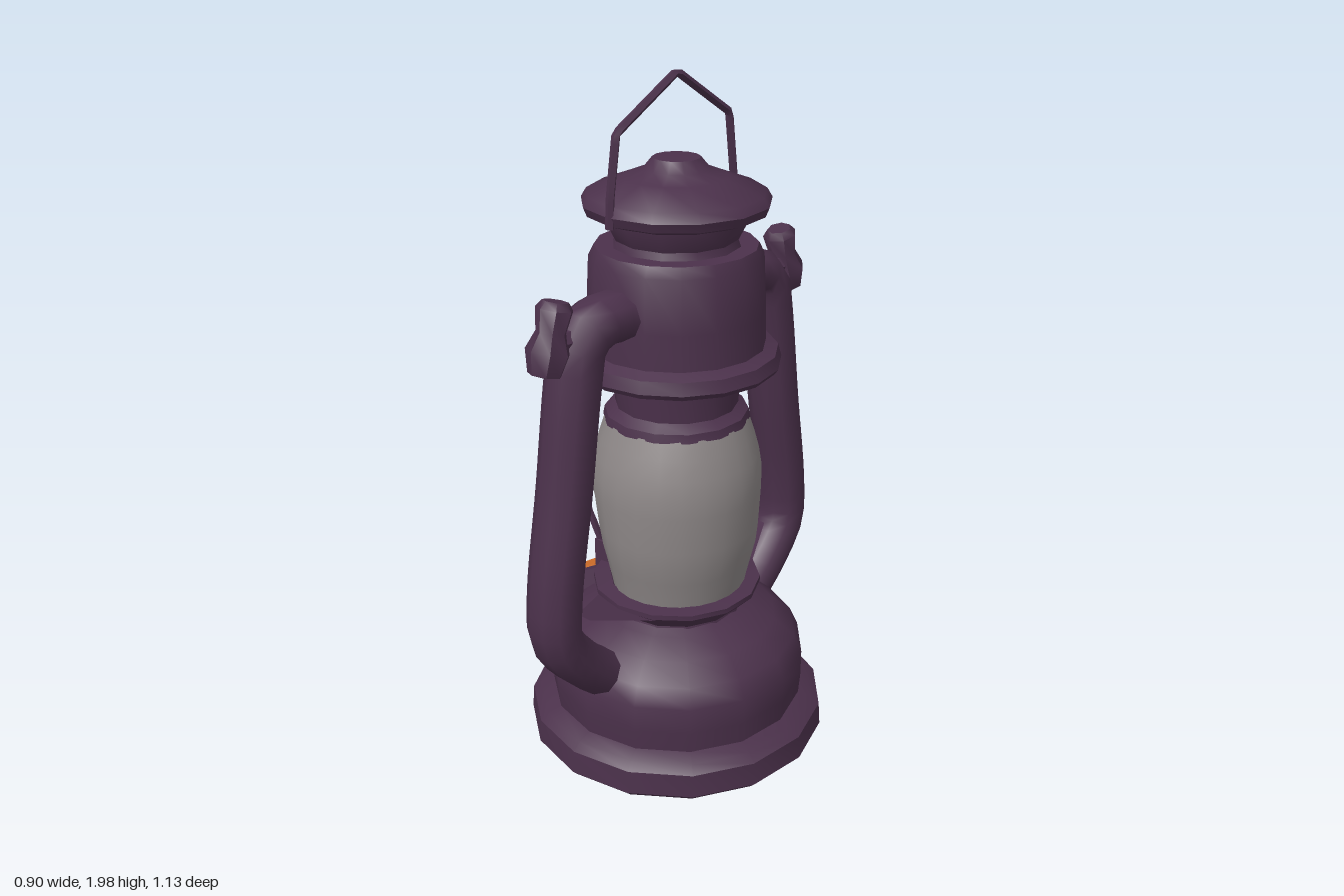
import * as THREE from 'three';
import { toCreasedNormals } from 'three/addons/utils/BufferGeometryUtils.js';

const metal = new THREE.MeshStandardMaterial({ color: 0x4b314b, side: THREE.DoubleSide });
metal.name = 'dark plum metal';
const glassMat = new THREE.MeshStandardMaterial({ color: 0x8e8888, side: THREE.DoubleSide });
glassMat.name = 'smoky grey glass';
const orange = new THREE.MeshStandardMaterial({ color: 0xd3702a, side: THREE.DoubleSide });
orange.name = 'flame orange';
const yellow = new THREE.MeshStandardMaterial({ color: 0xe6b54e, side: THREE.DoubleSide });
yellow.name = 'flame yellow';

const v3 = (x, y, z) => new THREE.Vector3(x, y, z);

function add(parent, name, geo, mat = metal, crease = 0.75) {
  const mesh = new THREE.Mesh(toCreasedNormals(geo, crease), mat);
  mesh.name = name;
  parent.add(mesh);
  return mesh;
}

const lathe = (profile, sides) =>
  new THREE.LatheGeometry(profile.map(([r, y]) => new THREE.Vector2(r, y)), sides);

function tube(points, radius, sides, steps, straight) {
  let curve = new THREE.CatmullRomCurve3(points);
  if (straight) {
    curve = new THREE.CurvePath();
    for (let i = 1; i < points.length; i++) curve.add(new THREE.LineCurve3(points[i - 1], points[i]));
  }
  return new THREE.TubeGeometry(curve, steps, radius, sides);
}

// Piecewise-linear lookup in [y, value...] rows
function lookup(rows, y, k = 1) {
  let i = 1;
  while (i < rows.length - 1 && y > rows[i][0]) i++;
  const [a, b] = [rows[i - 1], rows[i]];
  const t = THREE.MathUtils.clamp((y - a[0]) / (b[0] - a[0]), 0, 1);
  return a[k] + (b[k] - a[k]) * t;
}

// Barrel chimney surface; a = 0 faces -x, where the lower wall is pressed in
const barrel = [[0.48, 0.2], [0.53, 0.21], [0.66, 0.24], [0.85, 0.25], [0.94, 0.235], [1.03, 0.205]];
function chimneyPoint(a, y, lift = 0) {
  const dent = 0.28 * Math.exp(-((a / 0.8) ** 2)) * (1 - THREE.MathUtils.smoothstep(y, 0.6, 0.86));
  const r = lookup(barrel, y) * (1 - dent) + lift;
  return v3(-r * Math.cos(a), y, r * Math.sin(a));
}

// Grid of unit coordinates reshaped by a rule
function patch(cols, rows, rule) {
  const geo = new THREE.PlaneGeometry(1, 1, cols, rows);
  const p = geo.attributes.position;
  for (let i = 0; i < p.count; i++) {
    const q = rule(p.getX(i) + 0.5, p.getY(i) + 0.5);
    p.setXYZ(i, q.x, q.y, q.z);
  }
  return geo;
}

// Painted flame following the glass; rows are [y, z start, z end]
function flame(rows, lift) {
  const y0 = rows[0][0], y1 = rows[rows.length - 1][0];
  return patch(6, 10, (u, v) => {
    const y = y0 + (y1 - y0) * v;
    const z = THREE.MathUtils.lerp(lookup(rows, y, 1), lookup(rows, y, 2), u);
    return chimneyPoint(z / 0.21, y, lift);
  });
}

export function createModel() {
  const lantern = new THREE.Group();
  lantern.name = 'lantern';

  // Fuel tank with foot rim and shoulder
  add(lantern, 'fuelTank', lathe([[0, 0.01], [0.43, 0.01], [0.45, 0.03], [0.445, 0.1], [0.42, 0.12],
    [0.38, 0.135], [0.385, 0.2], [0.385, 0.28], [0.36, 0.335], [0.3, 0.385], [0.23, 0.42], [0.19, 0.44]], 15));

  // Burner cup with flared lip
  add(lantern, 'burnerCup', lathe([[0.21, 0.4], [0.2, 0.44], [0.25, 0.49], [0.25, 0.505],
    [0.2, 0.51], [0.19, 0.49], [0, 0.49]], 14));

  // Glass chimney and its painted flame
  add(lantern, 'glassChimney', patch(24, 10, (u, v) =>
    chimneyPoint((u - 0.5) * Math.PI * 2, 0.48 + 0.55 * v)), glassMat, 1.2);
  add(lantern, 'flameOuter', flame([[0.53, -0.05, 0.13], [0.57, -0.11, 0.14], [0.64, -0.09, 0.11],
    [0.74, -0.03, 0.11], [0.88, 0.03, 0.12], [0.94, 0.05, 0.07]], 0.005), orange, 1.2);
  add(lantern, 'flameInner', flame([[0.58, -0.05, 0.0], [0.63, -0.06, 0.04], [0.7, -0.01, 0.06],
    [0.8, 0.03, 0.05]], 0.009), yellow, 1.2);

  // Collar, hood, vent neck and cap
  add(lantern, 'chimneyCollar', lathe([[0.17, 1.02], [0.21, 1.025], [0.205, 1.05], [0.175, 1.07],
    [0.18, 1.14], [0.185, 1.21]], 14));
  add(lantern, 'hood', lathe([[0.17, 1.2], [0.285, 1.185], [0.295, 1.2], [0.285, 1.235], [0.25, 1.25],
    [0.248, 1.35], [0.24, 1.5], [0.225, 1.53], [0.15, 1.53]], 16));
  add(lantern, 'ventNeck', lathe([[0.18, 1.52], [0.17, 1.55], [0.2, 1.61], [0.2, 1.64]], 12));
  add(lantern, 'cap', lathe([[0.18, 1.6], [0.25, 1.625], [0.26, 1.65], [0.245, 1.675], [0.14, 1.715],
    [0.09, 1.735], [0.065, 1.765], [0, 1.772]], 13));

  // Wire bail
  add(lantern, 'bailHandle', tube([v3(0, 1.62, 0.255), v3(0, 1.7, 0.25), v3(0, 1.86, 0.225), v3(0, 1.985, 0),
    v3(0, 1.85, -0.215), v3(0, 1.62, -0.245)], 0.012, 5, 50, true));

  // Side air tubes, knobs and lip wings, mirrored front to back
  for (const s of [1, -1]) {
    const side = new THREE.Group();
    side.name = s > 0 ? 'frontFrame' : 'backFrame';
    lantern.add(side);
    const arm = add(side, 'airTube', tube([[1.38, 0.2], [1.385, 0.31], [1.35, 0.375], [1.25, 0.4], [0.95, 0.445],
      [0.64, 0.495], [0.51, 0.495], [0.42, 0.435], [0.33, 0.34], [0.28, 0.26]]
      .map(([y, z]) => v3(0, y, s * z)), 0.07, 10, 26), metal, 1);
    arm.scale.x = 1.18;

    const knob = add(side, 'knob', lathe([[0, -0.1], [0.045, -0.09], [0.06, -0.03], [0.04, 0.02],
      [0.05, 0.08], [0.035, 0.1], [0, 0.1]], 7));
    knob.position.set(0, 1.38, s * 0.475);
    knob.rotation.x = -s * 0.25;
    const stem = add(side, 'knobStem', new THREE.CylinderGeometry(0.035, 0.035, 0.12, 7));
    stem.position.set(0, 1.36, s * 0.43);
    stem.rotation.x = Math.PI / 2;

    add(side, 'lipWing', patch(4, 2, (u, v) =>
      v3((u - 0.5) * 0.24 * (1 - 0.8 * v), 0.48 + 0.05 * v, s * (0.2 + 0.19 * v))));
  }

  // Filler cap with an orange glint
  const filler = new THREE.Group();
  filler.name = 'fillerCap';
  filler.position.set(-0.325, 0.375, 0);
  filler.rotation.z = 0.45;
  lantern.add(filler);
  add(filler, 'fillerLid', new THREE.CylinderGeometry(0.085, 0.09, 0.08, 8));
  const glint = add(filler, 'fillerGlint', new THREE.CylinderGeometry(0.048, 0.048, 0.006, 7), orange);
  glint.position.set(-0.015, 0.043, 0);

  // Small orange glint on the hood
  const hoodGlint = add(lantern, 'hoodGlint', new THREE.BoxGeometry(0.006, 0.04, 0.025), orange);
  hoodGlint.position.set(-0.25, 1.33, 0.03);

  // Wick lever: bracket and bent wire
  const bracket = add(lantern, 'leverBracket', new THREE.BoxGeometry(0.09, 0.09, 0.07));
  bracket.position.set(-0.205, 0.525, 0.06);
  add(lantern, 'leverWire', tube([v3(-0.1, 0.875, -0.215), v3(-0.21, 0.84, -0.12), v3(-0.28, 0.78, 0.02),
    v3(-0.285, 0.7, 0.09), v3(-0.25, 0.61, 0.09), v3(-0.23, 0.53, 0.07)], 0.011, 5, 18));

  return lantern;
}
